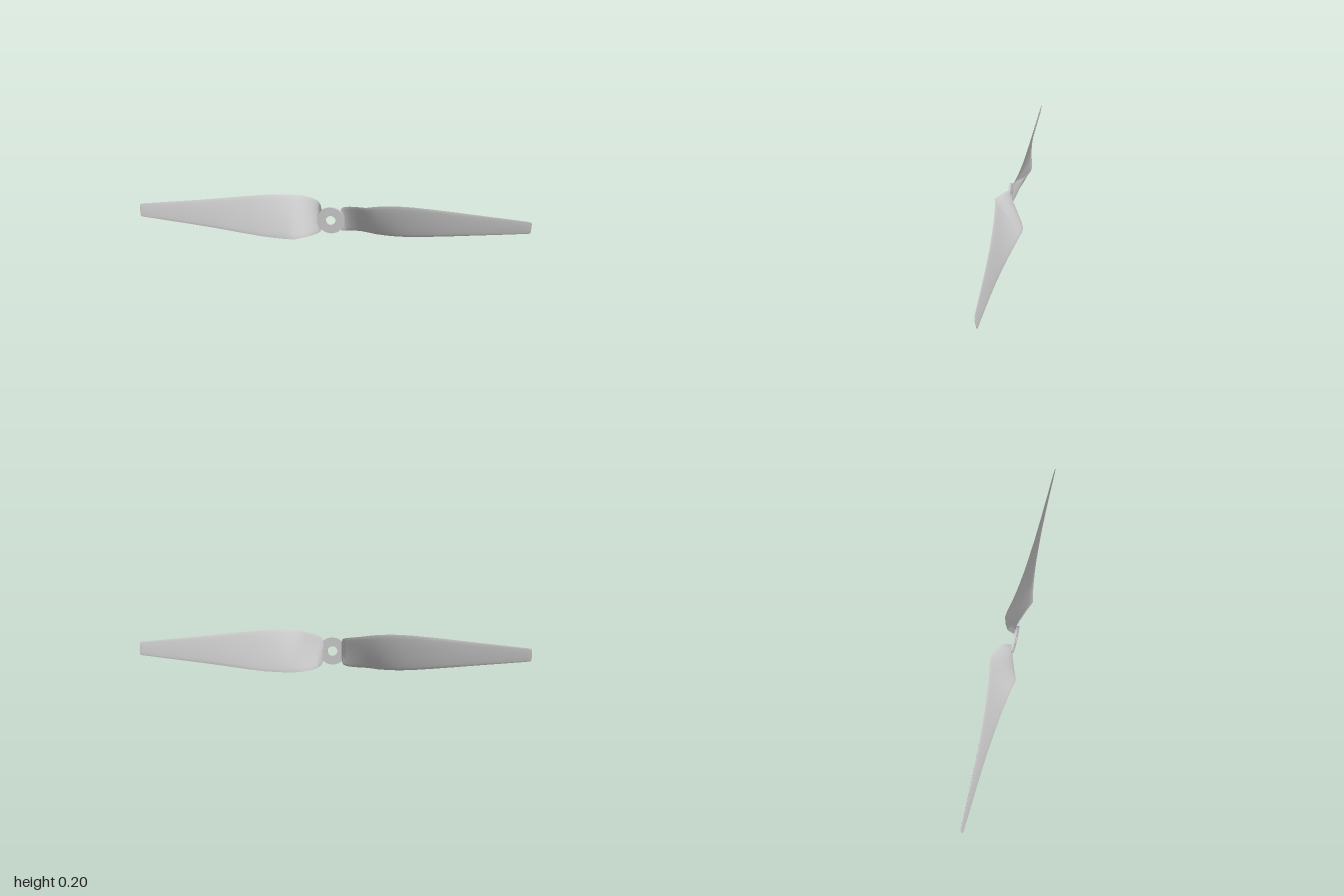
import * as THREE from 'three';
import { mergeVertices, toCreasedNormals } from 'three/addons/utils/BufferGeometryUtils.js';

const HUB_Y = 0.101;

// Blade stations: [x, half height, z of upper edge, z of lower edge, half thickness]
const STATIONS = [
  [0.046, 0.045, 0.016, 0.014, 0.004],
  [0.054, 0.068, 0.016, -0.008, 0.005],
  [0.07, 0.078, 0.022, -0.038, 0.005],
  [0.1, 0.085, 0.034, -0.055, 0.006],
  [0.14, 0.091, 0.05, -0.069, 0.006],
  [0.18, 0.096, 0.067, -0.066, 0.006],
  [0.23, 0.1, 0.056, -0.056, 0.006],
  [0.28, 0.101, 0.048, -0.048, 0.006],
  [0.34, 0.1, 0.04, -0.04, 0.0055],
  [0.41, 0.095, 0.032, -0.032, 0.005],
  [0.5, 0.086, 0.025, -0.025, 0.005],
  [0.6, 0.075, 0.018, -0.018, 0.0045],
  [0.72, 0.062, 0.013, -0.013, 0.004],
  [0.85, 0.049, 0.009, -0.009, 0.003],
  [0.975, 0.036, 0.006, -0.006, 0.002],
  [0.992, 0.034, 0.005, -0.005, 0.002],
  [0.999, 0.028, 0.004, -0.004, 0.0015],
  [1.0, 0.024, 0.004, -0.004, 0.0015],
];

// Twisted blade lofted from thin lens sections, closed at both ends
function bladeGeometry() {
  const around = 20;
  const positions = [];
  const index = [];
  const first = STATIONS[0];
  const last = STATIONS[STATIONS.length - 1];
  const close = ([x, , zu, zl]) => [x, 0, (zu + zl) / 2, (zu + zl) / 2, 0];
  const rings = [close(first), ...STATIONS, close(last)];

  rings.forEach(([x, h, zUpper, zLower, t], i) => {
    const midZ = (zUpper + zLower) / 2;
    const chordZ = (zUpper - zLower) / 2;
    const len = Math.hypot(h, chordZ) || 1;
    for (let j = 0; j < around; j++) {
      const a = (j / around) * Math.PI * 2;
      const c = Math.cos(a);
      const s = Math.sin(a) * t;
      positions.push(x, c * h - (s * chordZ) / len, midZ + c * chordZ + (s * h) / len);
      if (i < rings.length - 1) {
        const k = (j + 1) % around;
        const p = i * around;
        const q = p + around;
        index.push(p + j, p + k, q + k, p + j, q + k, q + j);
      }
    }
  });

  const geometry = new THREE.BufferGeometry();
  geometry.setAttribute('position', new THREE.Float32BufferAttribute(positions, 3));
  geometry.setIndex(index);
  return toCreasedNormals(mergeVertices(geometry, 1e-5), 0.6);
}

// Flat ring with the shaft hole
function hubGeometry() {
  const ring = new THREE.Shape().absarc(0, 0, 0.07, 0, Math.PI * 2);
  ring.holes.push(new THREE.Path().absarc(0, 0, 0.025, 0, Math.PI * 2, true));
  const geometry = new THREE.ExtrudeGeometry(ring, { depth: 0.011, bevelEnabled: false, curveSegments: 40 });
  geometry.translate(0, 0, 0.014);
  return toCreasedNormals(geometry, 0.6);
}

export function createModel() {
  const group = new THREE.Group();
  group.name = 'propeller';
  const material = new THREE.MeshStandardMaterial({ color: 0xcccccc });

  const hub = new THREE.Mesh(hubGeometry(), material);
  hub.name = 'hub';
  hub.position.y = HUB_Y;
  group.add(hub);

  // Two identical blades, half a turn apart
  const blade = bladeGeometry();
  ['leftBlade', 'rightBlade'].forEach((name, i) => {
    const mesh = new THREE.Mesh(blade, material);
    mesh.name = name;
    mesh.position.y = HUB_Y;
    mesh.rotation.z = i * Math.PI;
    group.add(mesh);
  });

  return group;
}
